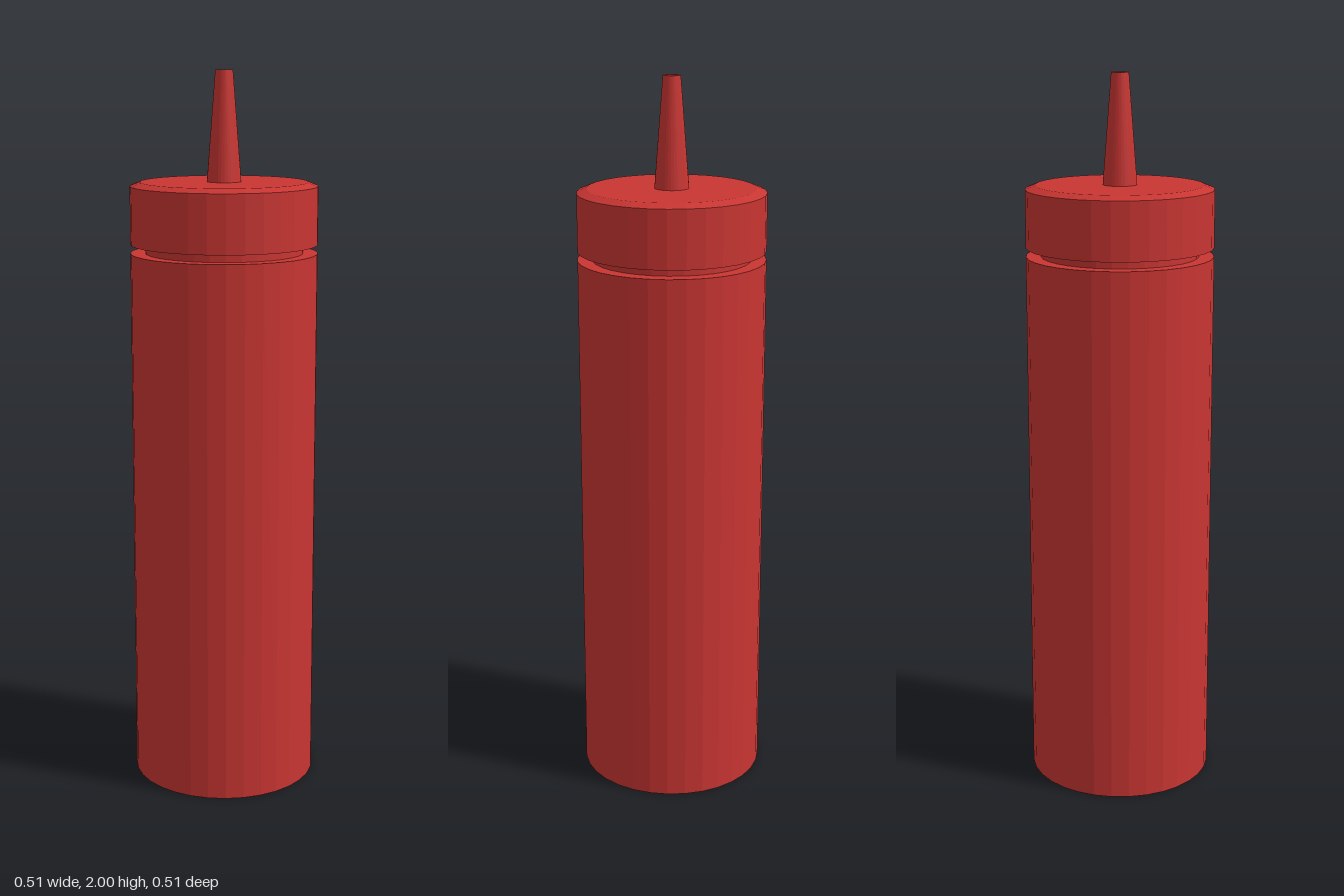
import * as THREE from 'three';

const SIDES = 32;

// Turned part from [radius, height] pairs, listed from bottom to top
function turned(name, profile, material, sides = SIDES) {
  const points = profile.map(([r, y]) => new THREE.Vector2(r, y));
  const geometry = new THREE.LatheGeometry(points, sides, Math.PI / sides);
  const mesh = new THREE.Mesh(geometry, material);
  mesh.name = name;
  return mesh;
}

export function createModel() {
  const group = new THREE.Group();
  group.name = 'squeezeBottle';
  const red = new THREE.MeshStandardMaterial({ color: 0xc83532, flatShading: true });

  // Straight body with a flat base and a flat shoulder, stepping in to the neck
  group.add(turned('body', [[0, 0], [0.258, 0], [0.258, 1.508], [0.217, 1.508]], red));
  group.add(turned('neck', [[0.217, 1.508], [0.217, 1.532]], red));

  // Screw cap with a chamfered top rim
  group.add(turned('cap', [[0.217, 1.532], [0.258, 1.532], [0.258, 1.691], [0.23, 1.702], [0, 1.702]], red));

  // Tapered nozzle with a narrow bore
  group.add(turned('nozzle', [[0.047, 1.702], [0.024, 2], [0.016, 2], [0.016, 1.72], [0, 1.72]], red));

  return group;
}
